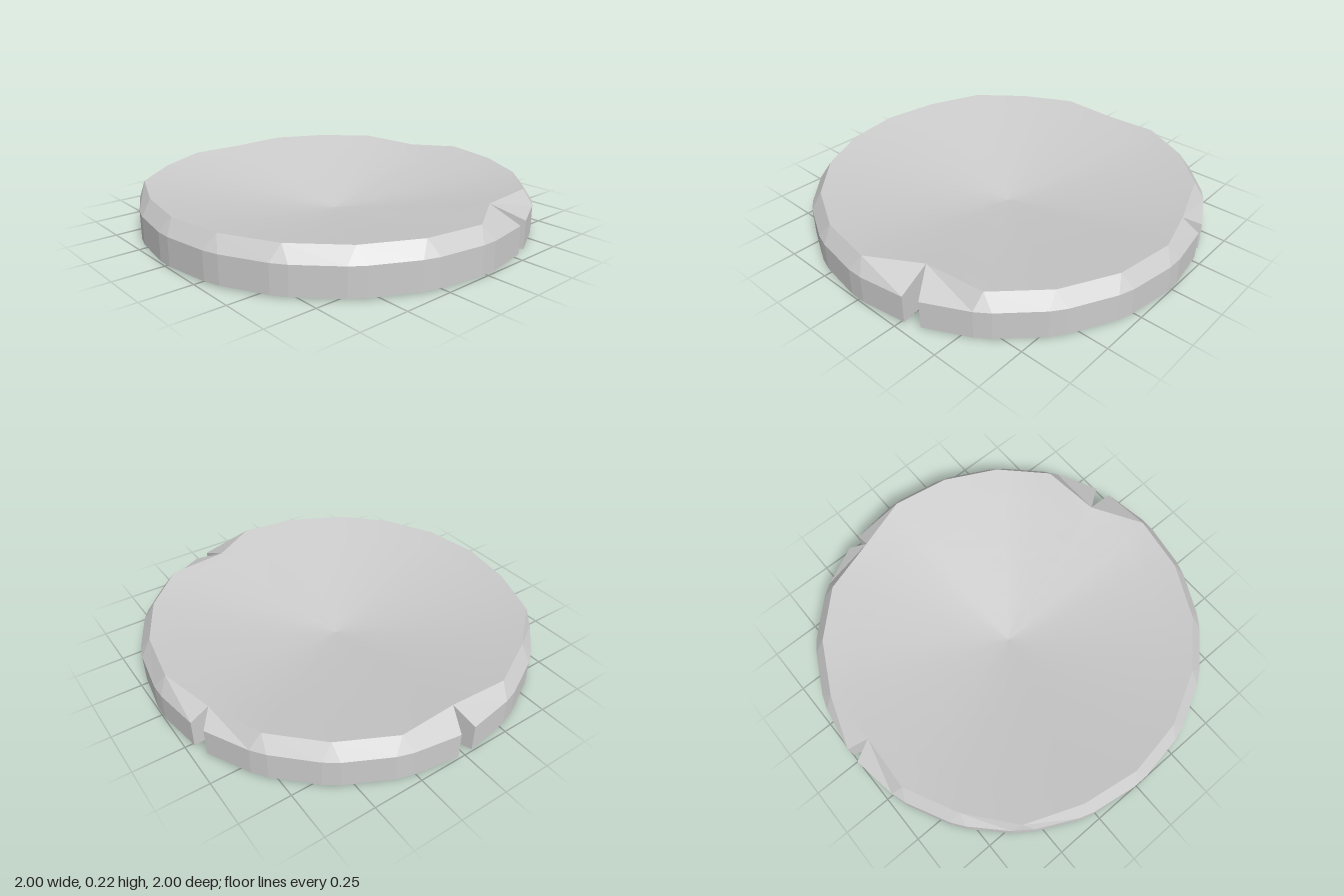
import * as THREE from 'three';

const CORNERS = 20, BASE = 0.01, SHOULDER = 0.15, RIM = 0.22;

// Rim corners pulled inwards; "open" ones are split right through the edge
const chips = {
  4: { x: 0.25, z: 0.8, y: RIM, open: true },
  12: { x: -0.79, z: -0.58, y: RIM, open: false },
  15: { x: 0, z: -0.89, y: RIM, open: true },
  19: { x: 0.87, z: -0.27, y: 0.2, open: true },
};

const polar = (r, angle, y) => new THREE.Vector3(r * Math.cos(angle), y, r * Math.sin(angle));

// Joins closed rings of equal length into one surface, skipping empty triangles
function loft(rings, smooth) {
  const n = rings[0].length, index = [];
  const points = rings.flat();
  const add = (a, b, c) => {
    const [p, q, r] = [points[a], points[b], points[c]];
    if (p.distanceTo(q) > 1e-6 && q.distanceTo(r) > 1e-6 && r.distanceTo(p) > 1e-6) index.push(a, b, c);
  };
  for (let k = 0; k < rings.length - 1; k++) {
    for (let i = 0; i < n; i++) {
      const j = (i + 1) % n, a = k * n + i, b = a + n, c = (k + 1) * n + j, d = k * n + j;
      add(a, b, c);
      add(a, c, d);
    }
  }
  let geometry = new THREE.BufferGeometry().setFromPoints(points);
  geometry.setIndex(index);
  if (!smooth) geometry = geometry.toNonIndexed();
  geometry.computeVertexNormals();
  return geometry;
}

export function createModel() {
  const group = new THREE.Group();
  group.name = 'stoneDisc';
  const material = (flatShading) => new THREE.MeshStandardMaterial({ color: 0xcccccc, flatShading });
  const addPart = (name, rings, smooth) => {
    const mesh = new THREE.Mesh(loft(rings, smooth), material(!smooth));
    mesh.name = name;
    group.add(mesh);
  };

  // Every corner has two outer points with a middle one that sinks in at a crack
  const low = [], shoulder = [], rim = [], top = [];
  for (let k = 0; k < CORNERS; k++) {
    const angle = (k / CORNERS) * Math.PI * 2, chip = chips[k];
    const spread = chip && !chip.open ? 0.06 : 0.04;
    const crest = chip ? new THREE.Vector3(chip.x, chip.y, chip.z) : polar(0.95, angle, k === 0 ? 0.225 : RIM);
    const first = polar(0.999, angle - spread, 0), last = polar(0.999, angle + spread, 0);
    const middle = chip && chip.open ? crest.clone() : first.clone().lerp(last, 0.5);
    for (const p of [first, middle, last]) {
      low.push(p.clone().setY(BASE));
      shoulder.push(p.clone().setY(SHOULDER));
      rim.push(crest);
    }
    top.push(crest);
  }

  // Upright edge and bevel
  addPart('crackedEdge', [low, shoulder, rim], false);

  // Shallow hollow on top
  const hollow = [1, 0.85, 0.7, 0.55, 0.4, 0.25, 0.1, 0].map((s) =>
    top.map((p) => new THREE.Vector3(p.x * s, 0.05 + (p.y - 0.05) * s ** 1.15, p.z * s)));
  addPart('hollowTop', hollow, true);

  // Slightly sagging underside
  const sag = [0, 0.5, 1].map((s) =>
    low.map((p) => new THREE.Vector3(p.x * s, BASE * s, p.z * s)));
  addPart('underside', sag, true);

  return group;
}
